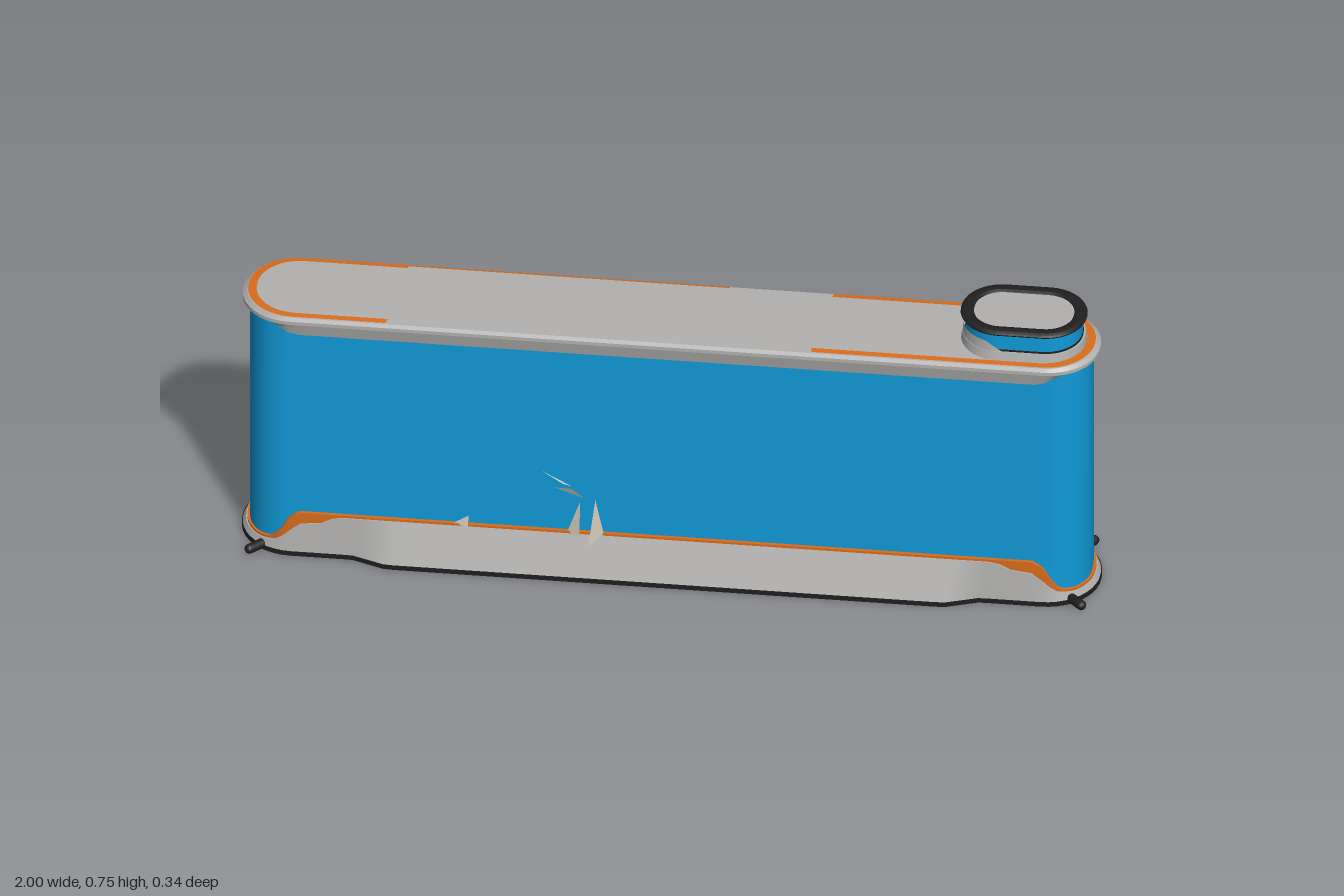
import * as THREE from 'three';

const mat = (name, color, side = THREE.FrontSide) => {
  const m = new THREE.MeshStandardMaterial({ color, side });
  m.name = name;
  return m;
};

// Evenly matched loop round a rounded rectangle, so loops of any size join point for point
const ARC = 10, LONG = 72;
function outline(a, b, r) {
  const pts = [];
  const corners = [[1, 1, 0], [-1, 1, 1], [-1, -1, 2], [1, -1, 3]];
  corners.forEach(([sx, sz, q], k) => {
    for (let i = 0; i <= ARC; i++) {
      const t = (q + i / ARC) * Math.PI / 2;
      pts.push([sx * (a - r) + r * Math.cos(t), sz * (b - r) + r * Math.sin(t)]);
    }
    if (k % 2 === 0) {
      for (let i = 1; i < LONG; i++) pts.push([sx * (a - r) * (1 - 2 * i / LONG), sz * b]);
    }
  });
  pts.push(pts[0]);
  return pts;
}

// Ring: height may depend on x; widen scales z by x
function ring(a, b, r, y, widen = () => 1) {
  return outline(a, b, r).map(([x, z]) =>
    [x, typeof y === 'function' ? y(Math.abs(x)) : y, z * widen(Math.abs(x))]);
}
const spine = (a, b, r, y) => ring(a, b, r, y, () => 0);

// Skin a list of rings; smooth round the loop, crisp from band to band
function loft(rings, keep = () => true) {
  const pos = [], idx = [];
  for (let k = 0; k + 1 < rings.length; k++) {
    const lo = rings[k], hi = rings[k + 1], base = pos.length / 3;
    lo.forEach((p, i) => pos.push(...p, ...hi[i]));
    for (let i = 0; i + 1 < lo.length; i++) {
      if (!keep(lo[i])) continue;
      const v = base + 2 * i;
      idx.push(v, v + 1, v + 2, v + 2, v + 1, v + 3);
    }
  }
  const g = new THREE.BufferGeometry();
  g.setAttribute('position', new THREE.Float32BufferAttribute(pos, 3));
  g.setIndex(idx);
  g.computeVertexNormals();
  return g;
}

// Piecewise linear profile along |x|
const profile = (...p) => x => {
  if (x <= p[0][0]) return p[0][1];
  for (let i = 1; i < p.length; i++) {
    if (x <= p[i][0]) {
      const t = (x - p[i - 1][0]) / (p[i][0] - p[i - 1][0]);
      return p[i - 1][1] + t * (p[i][1] - p[i - 1][1]);
    }
  }
  return p[p.length - 1][1];
};

export function createModel() {
  const group = new THREE.Group();
  const blue = mat('blue', 0x109ad8);
  const grey = mat('grey', 0xb2b1b0);
  const orange = mat('orange', 0xd96c1c, THREE.DoubleSide);
  const black = mat('black', 0x1f1f1f);
  const cream = mat('cream', 0xcfc8b8, THREE.DoubleSide);
  const add = (name, geometry, material, x = 0) => {
    const m = new THREE.Mesh(geometry, material);
    m.name = name;
    m.position.x = x;
    group.add(m);
    return m;
  };

  // Main tank
  add('body', loft([ring(0.98, 0.113, 0.1, 0.02), ring(0.98, 0.113, 0.1, 0.655)]), blue);

  // Flared base skirt, low at the ends and high along the sides
  const flare = profile([0.65, 1.22], [0.73, 1]);
  const skirtTop = profile([0.77, 0.11], [0.8, 0.092], [0.86, 0.085], [0.885, 0.055], [0.91, 0.035], [0.95, 0.026]);
  const trimTop = profile([0.865, 0.116], [0.885, 0.09], [0.9, 0.055], [0.92, 0.038], [0.95, 0.032]);
  add('baseSkirt', loft([
    ring(0.998, 0.13, 0.125, 0.012, flare),
    ring(0.99, 0.124, 0.115, skirtTop),
    ring(0.978, 0.112, 0.1, skirtTop),
  ]), grey);
  add('baseTrim', loft([
    ring(0.987, 0.121, 0.112, 0.02),
    ring(0.987, 0.121, 0.112, trimTop),
    ring(0.978, 0.112, 0.1, trimTop),
  ]), orange);
  add('sole', loft([
    spine(1, 0.131, 0.126, 0),
    ring(1, 0.131, 0.126, 0, flare),
    ring(1, 0.131, 0.126, 0.012, flare),
    ring(0.98, 0.12, 0.11, 0.012),
  ]), black);

  // Small corner feet
  for (const sx of [-1, 1]) for (const sz of [-1, 1]) {
    const foot = add('foot', new THREE.CapsuleGeometry(0.012, 0.045, 4, 10), black);
    foot.position.set(sx * 0.952, 0.012, sz * 0.115);
    foot.quaternion.setFromUnitVectors(new THREE.Vector3(0, 1, 0),
      new THREE.Vector3(sx, 0, sz).normalize());
  }

  // Lid with lips hanging down along both sides
  const lip = profile([0.87, 0.617], [0.92, 0.646]);
  add('lid', loft([
    ring(0.975, 0.11, 0.1, lip),
    ring(0.988, 0.116, 0.108, lip),
    ring(0.998, 0.125, 0.12, 0.65),
    ring(0.998, 0.125, 0.12, 0.659),
    ring(0.988, 0.12, 0.115, 0.667),
    spine(0.988, 0.12, 0.115, 0.669),
  ]), grey);

  // Trim lines let into the lid edge
  const trimEnds = ([x, , z]) => x > 0.35 || x < -0.63;
  add('lidTrim', loft([
    ring(0.986, 0.118, 0.114, 0.669),
    ring(0.966, 0.104, 0.1, 0.6705),
  ], trimEnds), orange);
  add('lidTrimLine', loft([
    ring(0.986, 0.118, 0.114, 0.669),
    ring(0.98, 0.111, 0.107, 0.6705),
  ], ([x, , z]) => z < 0 && x <= 0.12 && x >= -0.63), orange);

  // Filler neck near the left end
  const neckX = 0.82;
  add('neckCollar', loft([
    ring(0.146, 0.1, 0.095, 0.665),
    ring(0.143, 0.095, 0.09, 0.689),
    ring(0.13, 0.085, 0.08, 0.689),
  ]), grey, neckX);
  add('neckSeal', loft([
    ring(0.138, 0.092, 0.088, 0.687),
    ring(0.138, 0.092, 0.088, 0.693),
    ring(0.125, 0.08, 0.075, 0.693),
  ]), black, neckX);
  add('neck', loft([ring(0.136, 0.09, 0.087, 0.69), ring(0.136, 0.09, 0.087, 0.736)]), blue, neckX);
  // Collar rises at the inner end of the neck
  const rise = loft([
    ring(0.142, 0.094, 0.09, 0.686),
    ring(0.14, 0.0925, 0.089, 0.7).map(([x, , z]) =>
      [x, 0.688 + 0.026 * THREE.MathUtils.clamp((-x - 0.04) / 0.04, 0, 1), z]),
  ], ([x]) => x < -0.04);
  add('collarRise', rise, grey, neckX);

  // Rounded rim round the mouth
  const rimRings = [];
  for (let i = 0; i <= 12; i++) {
    const t = -Math.PI / 2 + i / 12 * Math.PI * 2;
    const d = 0.016 * Math.cos(t);
    rimRings.push(ring(0.131 + d, 0.084 + d, 0.08 + d, 0.74 + 0.0075 * Math.sin(t)));
  }
  add('mouthRim', loft(rimRings), black, neckX);
  add('mouthCover', loft([ring(0.13, 0.083, 0.079, 0.742), spine(0.13, 0.083, 0.079, 0.742)]), grey, neckX);

  // Stray pointed slivers standing out from the sides
  const slivers = [
    [-0.23, 0.112, 0.118, -0.2, 0.2, 0.118, -0.2, 0.112, 0.135],
    [-0.175, 0.112, 0.172, -0.165, 0.205, 0.115, -0.145, 0.112, 0.118],
    [-0.29, 0.28, 0.118, -0.22, 0.24, 0.116, -0.24, 0.25, 0.122],
    [-0.26, 0.235, 0.118, -0.19, 0.21, 0.118, -0.22, 0.24, 0.126],
    [-0.5, 0.112, 0.118, -0.46, 0.14, 0.12, -0.46, 0.112, 0.125],
    [-0.26, 0.13, -0.115, -0.22, 0.128, -0.172, -0.23, 0.24, -0.112],
    [-0.29, 0.16, -0.115, -0.25, 0.12, -0.14, -0.24, 0.15, -0.115],
    [-0.5, 0.15, -0.115, -0.42, 0.16, -0.125, -0.45, 0.13, -0.115],
    [-0.56, 0.12, -0.115, -0.48, 0.118, -0.14, -0.5, 0.135, -0.115],
  ];
  const sg = new THREE.BufferGeometry();
  sg.setAttribute('position', new THREE.Float32BufferAttribute(slivers.flat(), 3));
  sg.computeVertexNormals();
  add('sideSlivers', sg, cream);

  return group;
}
